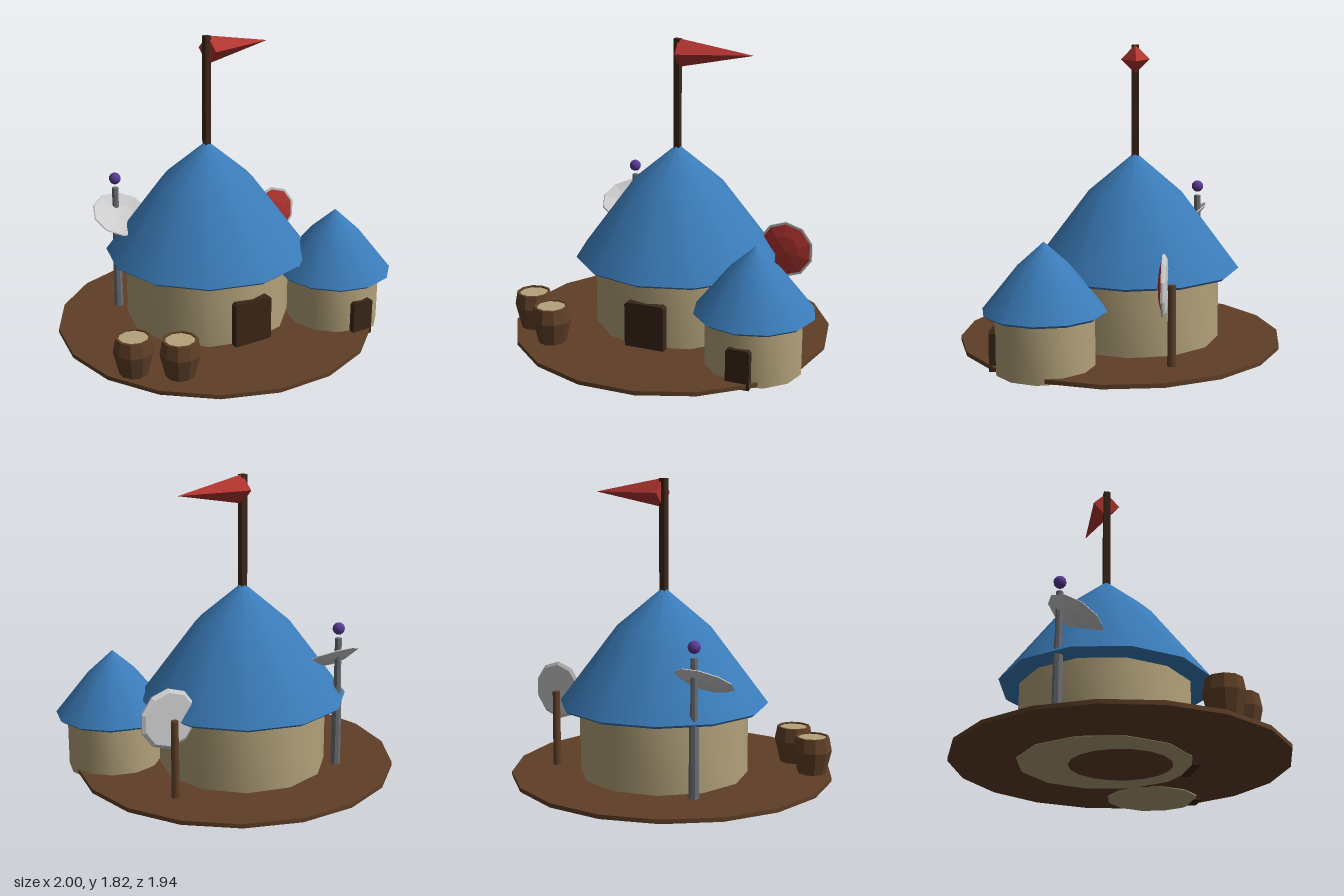
import * as THREE from 'three';
import { toCreasedNormals } from 'three/addons/utils/BufferGeometryUtils.js';

const mat = (color, flatShading = false) => new THREE.MeshStandardMaterial({ color, flatShading });
const wood = mat(0x5f3f27), woodFlat = mat(0x5f3f27, true), darkWood = mat(0x3a2618), tan = mat(0xb3a27a);
const blue = mat(0x3a7bb8), red = mat(0xb0342f, true), grey = mat(0xcccccc, true), iron = mat(0x6c6e74);
const purple = mat(0x5b3a96);

// Turned solid from [radius, height] pairs running from bottom to top
function turned(points, sides, start = 0) {
  const profile = points.map(([r, y]) => new THREE.Vector2(r, y));
  return toCreasedNormals(new THREE.LatheGeometry(profile, sides, start), 0.7);
}

export function createModel() {
  const model = new THREE.Group();
  const add = (name, geometry, material, x, y, z, parent = model) => {
    const mesh = new THREE.Mesh(geometry, material);
    mesh.name = name;
    mesh.position.set(x, y, z);
    parent.add(mesh);
    return mesh;
  };

  // Door with clipped upper corners
  function door(name, width, height, x, z) {
    const w = width / 2, c = 0.014;
    const shape = new THREE.Shape([[-w, 0], [w, 0], [w, height - c], [w - c, height],
      [c - w, height], [-w, height - c]].map(([a, b]) => new THREE.Vector2(a, b)));
    const geometry = new THREE.ExtrudeGeometry(shape, { depth: 0.05, bevelEnabled: false });
    add(name, geometry, darkWood, x, 0.003, z - 0.05);
  }

  // Round hut: wall plus overhanging roof with a bevelled eave
  function hut(name, x, z, wallR, eaveR, eaveY, shoulder, apexY) {
    const group = new THREE.Group();
    group.name = name;
    group.position.set(x, 0, z);
    model.add(group);
    const wallTop = eaveY - 0.01;
    add('wall', turned([[0, 0.006], [wallR, 0.006], [wallR, wallTop], [0, wallTop]], 12), tan, 0, 0, 0, group);
    add('roof', turned([[0, eaveY - 0.016], [eaveR - 0.02, eaveY - 0.016], [eaveR, eaveY],
      shoulder, [0, apexY]], 12), blue, 0, 0, 0, group);
  }

  // Ground disc
  add('ground', turned([[0, 0.002], [0.985, 0.015], [0.985, 0.04], [0, 0.04]], 18, Math.PI / 2), wood, -0.015, 0, 0);

  // Huts and doors
  hut('mainHut', -0.015, -0.09, 0.512, 0.634, 0.473, [0.283, 0.938], 1.175);
  hut('smallHut', 0.64, 0.36, 0.287, 0.355, 0.352, [0.15, 0.607], 0.743);
  door('mainDoor', 0.25, 0.315, -0.015, 0.445);
  door('smallDoor', 0.14, 0.233, 0.643, 0.667);

  // Flagpole and pointed pennant
  add('flagpole', new THREE.BoxGeometry(0.038, 0.72, 0.042), darkWood, -0.016, 1.458, -0.09);
  const pennant = new THREE.ConeGeometry(0.086, 0.46, 4);
  pennant.translate(0, 0.23, 0).rotateZ(-Math.PI / 2);
  add('pennant', pennant, red, -0.01, 1.733, -0.09).rotation.y = 0.1;

  // Barrels with recessed lids
  for (const [x, z] of [[-0.79, 0.375], [-0.58, 0.54]]) {
    const barrel = new THREE.Group();
    barrel.name = 'barrel';
    barrel.position.set(x, 0.035, z);
    model.add(barrel);
    const staves = [[0, 0], [0.085, 0], [0.12, 0.145], [0.104, 0.23], [0.088, 0.23], [0.088, 0.215], [0, 0.215]];
    add('staves', turned(staves, 10), woodFlat, 0, 0, 0, barrel);
    add('lid', new THREE.CylinderGeometry(0.088, 0.088, 0.01, 10), tan, 0, 0.217, 0, barrel);
  }

  // Round target on a wooden post
  add('targetPost', new THREE.CylinderGeometry(0.022, 0.025, 0.47, 8), wood, 0.612, 0.27, -0.355);
  const target = new THREE.Group();
  target.name = 'target';
  target.position.set(0.625, 0.505, -0.325);
  target.rotation.x = Math.PI / 2;
  model.add(target);
  add('targetBack', turned([[0, 0], [0.16, 0], [0.18, 0.012], [0.18, 0.024], [0, 0.024]], 10), grey, 0, 0, 0, target);
  add('targetFace', turned([[0, 0.02], [0.165, 0.024], [0.09, 0.042], [0, 0.05]], 10), red, 0, 0, 0, target);

  // Iron mast with orb, carrying a tilted shallow dish
  add('mast', turned([[0, 0.03], [0.03, 0.03], [0.028, 0.45], [0.021, 0.6], [0.021, 0.845], [0, 0.845]], 8),
    iron, -0.465, 0, -0.455);
  add('orb', new THREE.SphereGeometry(0.037, 12, 8), purple, -0.465, 0.905, -0.455);
  const bowl = [[0, -0.045], [0.1, -0.03], [0.18, 0], [0.174, 0.006], [0.095, -0.02], [0, -0.033]];
  add('dish', turned(bowl, 10, Math.PI / 2), grey, -0.475, 0.7, -0.365).rotation.x = 0.53;

  return model;
}
